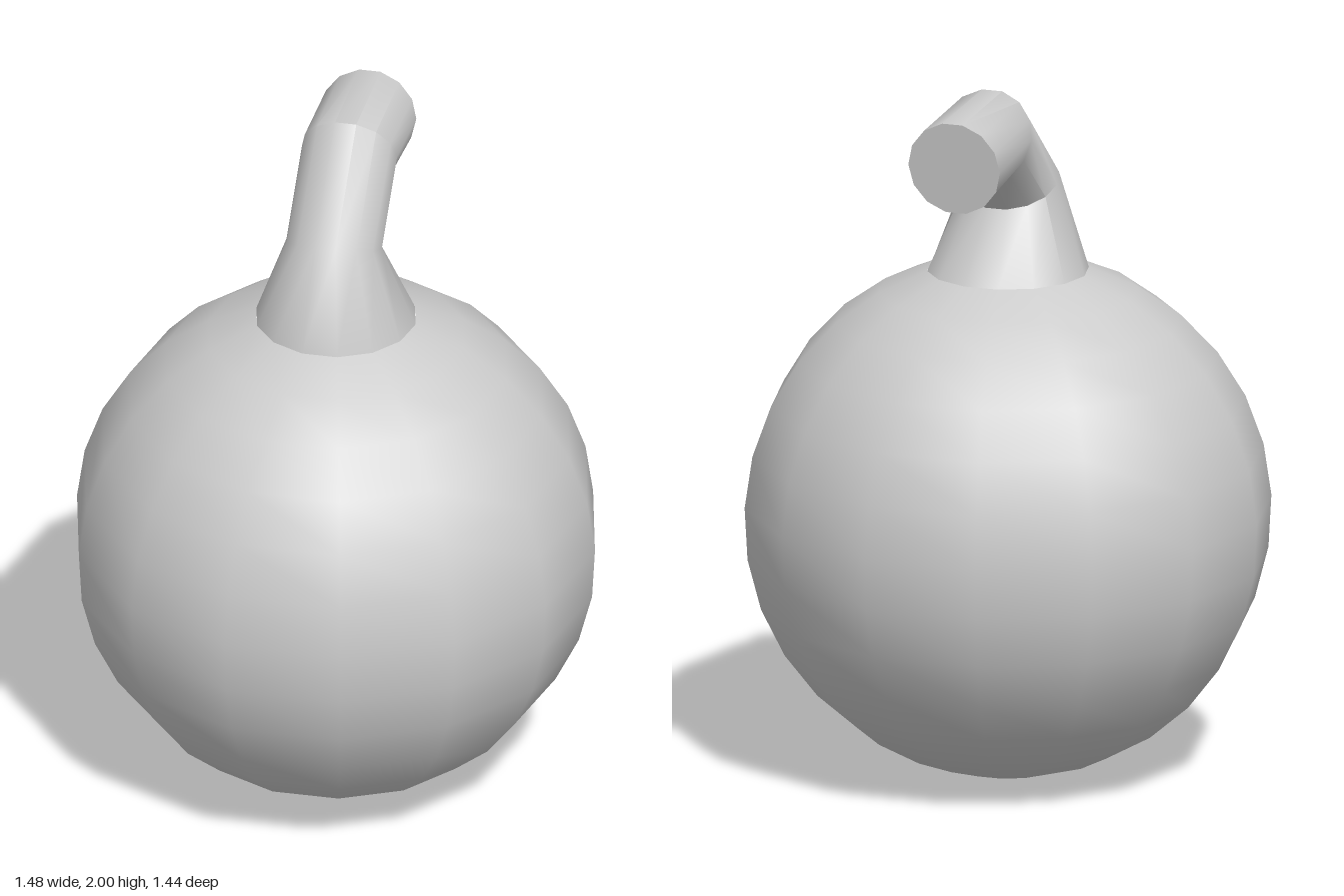
import * as THREE from 'three';
import { toCreasedNormals } from 'three/addons/utils/BufferGeometryUtils.js';

const SIDES = 14;
const RADIUS = 0.74;
const NECK_ANGLE = 0.312; // polar angle where the neck meets the round body

// Skin a run of 14-sided rings: each has a half width and its front and back points as [z, y]
function skinRings(rings) {
  const positions = [];
  const indices = [];
  const stretch = 1 / Math.cos(Math.PI / SIDES); // the extremes are flat edges, not corners
  for (const { width, front, back } of rings) {
    const cz = (front[0] + back[0]) / 2, cy = (front[1] + back[1]) / 2;
    const hz = (front[0] - cz) * stretch, hy = (front[1] - cy) * stretch;
    for (let i = 0; i < SIDES; i++) {
      const a = (i / SIDES) * Math.PI * 2;
      positions.push(Math.cos(a) * width, cy + Math.sin(a) * hy, cz + Math.sin(a) * hz);
    }
  }
  for (let r = 0; r < rings.length - 1; r++) {
    for (let i = 0; i < SIDES; i++) {
      const j = (i + 1) % SIDES;
      const a = r * SIDES + i, b = r * SIDES + j;
      indices.push(a, a + SIDES, b, b, a + SIDES, b + SIDES);
    }
  }
  // flat cap on the last ring
  const last = (rings.length - 1) * SIDES;
  for (let i = 1; i < SIDES - 1; i++) indices.push(last, last + i + 1, last + i);

  const geometry = new THREE.BufferGeometry();
  geometry.setAttribute('position', new THREE.Float32BufferAttribute(positions, 3));
  geometry.setIndex(indices);
  return toCreasedNormals(geometry, 0.75);
}

export function createModel() {
  const group = new THREE.Group();
  const material = new THREE.MeshStandardMaterial({ color: 0xcccccc });

  // Round body, open at the top where the neck begins
  const profile = [];
  const steps = 14;
  for (let i = 0; i <= steps; i++) {
    const a = Math.PI - (i / steps) * (Math.PI - NECK_ANGLE);
    profile.push(new THREE.Vector2(i === 0 ? 0 : Math.sin(a) * RADIUS, 0.744 + Math.cos(a) * RADIUS * 1.004));
  }
  const body = new THREE.Mesh(new THREE.LatheGeometry(profile, SIDES, Math.PI / 2), material);
  body.name = 'roundBody';
  group.add(body);

  // Tapered neck bending backwards into a short spout
  const neck = new THREE.Mesh(skinRings([
    { width: 0.227, front: [0.221, 1.45], back: [-0.221, 1.45] },
    { width: 0.136, front: [0.15, 1.75], back: [-0.1, 1.65] },
    { width: 0.136, front: [-0.13, 2.0], back: [-0.235, 1.76] },
    { width: 0.136, front: [-0.455, 1.983], back: [-0.425, 1.72] },
  ]), material);
  neck.name = 'bentNeck';
  group.add(neck);

  return group;
}
